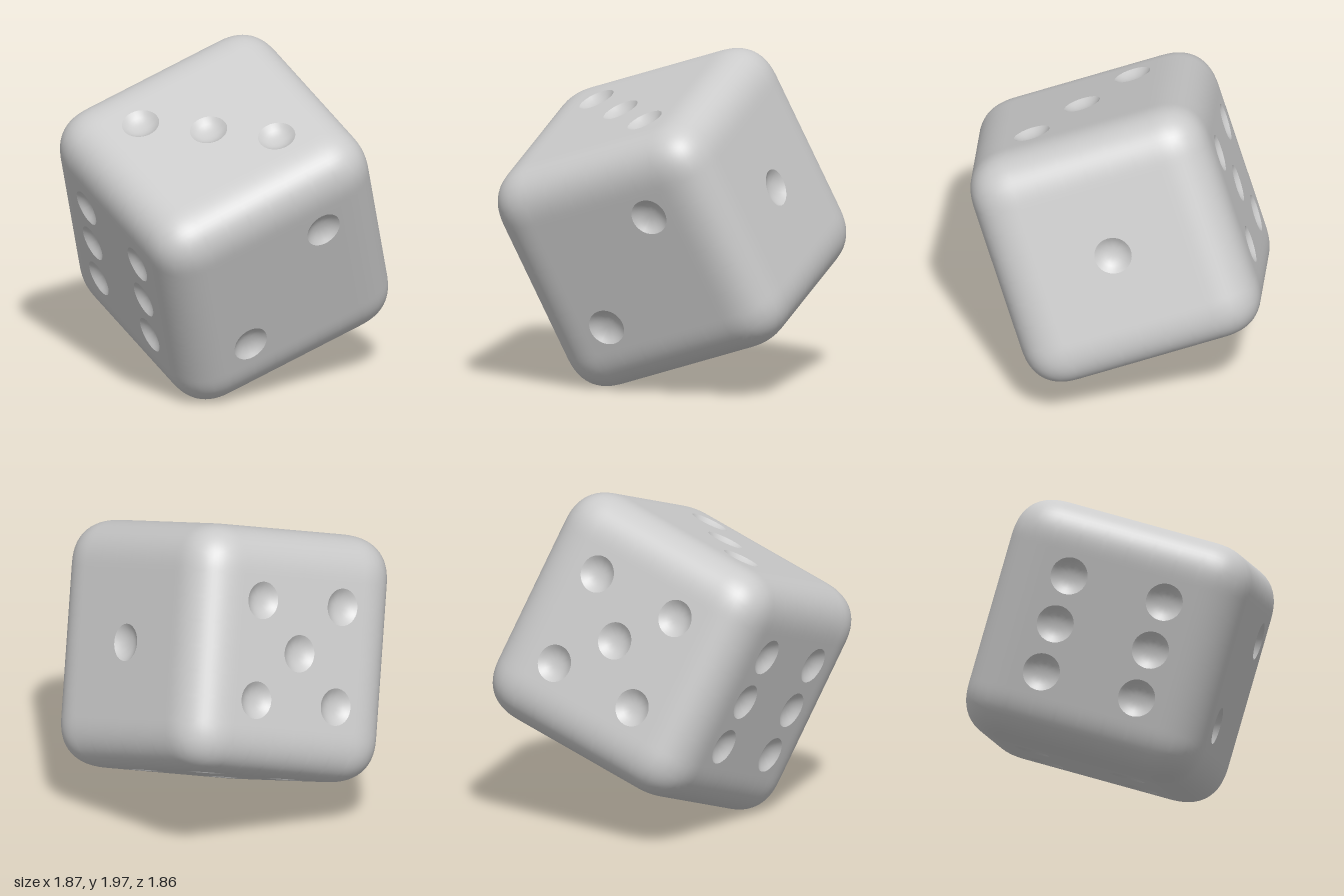
import * as THREE from 'three';
import { mergeVertices } from 'three/addons/utils/BufferGeometryUtils.js';

const CELL = 0.296;            // pip spacing: the flat of each face is 3 x 3 cells
const FLAT = CELL * 1.5;       // half width of the flat part
const ROUND = 0.291;           // depth of the rounded border
const SOFT = 2.5;              // above 2 the rounding eases gently into the flats
const N = 16, BORDER = 9;      // segments per cell and per rounded border
const PIP_R = CELL * 0.375, PIP_DEPTH = 0.042;

// Grid lines across one face: border, three cells, border
const ticks = [];
for (let i = BORDER; i > 0; i--) ticks.push(-FLAT - ROUND * Math.tan((i / BORDER) * Math.PI / 4));
for (let i = 0; i <= 3 * N; i++) ticks.push(-FLAT + (i / N) * CELL);
for (let i = 1; i <= BORDER; i++) ticks.push(FLAT + ROUND * Math.tan((i / BORDER) * Math.PI / 4));

// Pip cells in face coordinates
const mid = [[0, 0]], pair = [[1, 1], [-1, -1]];
const corners = [...pair, [1, -1], [-1, 1]];
// normal, first axis, second axis (axis index), side, pips
const FACES = [
  [0, 1, 2, 1, mid],
  [2, 0, 1, 1, pair],
  [1, 2, 0, 1, [...pair, ...mid]],
  [1, 0, 2, -1, corners],
  [2, 1, 0, -1, [...corners, ...mid]],
  [0, 2, 1, -1, [...corners, [1, 0], [-1, 0]]],
];

const clampFlat = (t) => Math.max(-FLAT, Math.min(FLAT, t));

// Surface point for face coordinates (a, b): returns [a, b, height]
function surfacePoint(a, b, pips) {
  const pip = pips.find(([i, j]) => Math.max(Math.abs(a - i * CELL), Math.abs(b - j * CELL)) < CELL / 2 - 1e-6);
  if (pip) {
    // Bend the square grid into circles around the pip, then sink the bowl
    const x = a - pip[0] * CELL, y = b - pip[1] * CELL;
    const s = Math.max(Math.abs(x), Math.abs(y)), len = Math.hypot(x, y) || 1;
    const k = Math.max(0, (s - PIP_R) / (CELL / 2 - PIP_R));
    const scale = THREE.MathUtils.lerp(s / len, 1, k);
    const sink = s < PIP_R ? PIP_DEPTH * (1 - Math.pow(s / PIP_R, SOFT)) : 0;
    return [pip[0] * CELL + x * scale, pip[1] * CELL + y * scale, FLAT + ROUND - sink];
  }
  // Rounded border: push the offset from the inner box onto a soft sphere
  const ca = clampFlat(a), cb = clampFlat(b), da = a - ca, db = b - cb;
  const norm = Math.pow(
    Math.abs(da) ** SOFT + Math.abs(db) ** SOFT + ROUND ** SOFT, 1 / SOFT);
  const f = ROUND / norm;
  return [ca + da * f, cb + db * f, FLAT + ROUND * f];
}

function buildGeometry(positions, index) {
  const g = new THREE.BufferGeometry();
  g.setAttribute('position', new THREE.Float32BufferAttribute(positions, 3));
  g.setIndex(index);
  const merged = mergeVertices(g, 1e-5);
  merged.computeVertexNormals();
  return merged;
}

export function createModel() {
  const positions = [], bodyIndex = [], pipIndex = [];
  const n = ticks.length;

  for (const [axN, axA, axB, side, pips] of FACES) {
    const base = positions.length / 3;
    for (const b of ticks) for (const a of ticks) {
      const [pa, pb, h] = surfacePoint(a, b, pips);
      const p = [0, 0, 0];
      p[axA] = pa; p[axB] = pb; p[axN] = side * h;
      positions.push(...p);
    }
    for (let j = 0; j < n - 1; j++) for (let i = 0; i < n - 1; i++) {
      const a = (ticks[i] + ticks[i + 1]) / 2, b = (ticks[j] + ticks[j + 1]) / 2;
      const x = a - Math.round(a / CELL) * CELL, y = b - Math.round(b / CELL) * CELL;
      const inPip = pips.some(([u, v]) =>
        Math.max(Math.abs(a - u * CELL), Math.abs(b - v * CELL)) < PIP_R);
      const p = base + j * n + i, q = p + 1, r = p + n + 1, s = p + n;
      // Split each quad along the diagonal that points at the cell centre
      const tris = x * y > 0 ? [p, q, r, p, r, s] : [p, q, s, q, r, s];
      (inPip ? pipIndex : bodyIndex).push(...tris);
    }
  }

  const material = new THREE.MeshStandardMaterial({ color: 0xcccccc });
  const body = new THREE.Mesh(buildGeometry(positions, bodyIndex), material);
  body.name = 'roundedCubeBody';
  const dents = new THREE.Mesh(buildGeometry(positions, pipIndex), material);
  dents.name = 'pips';

  // Tumbled pose of the die
  const right = new THREE.Vector3(0.943, 0.314, -0.116).normalize();
  const front = right.clone().cross(new THREE.Vector3(-0.257, 0.899, 0.358)).normalize();
  const up = front.clone().cross(right);
  const die = new THREE.Group();
  die.name = 'die';
  die.add(body, dents);
  die.quaternion.setFromRotationMatrix(new THREE.Matrix4().makeBasis(right, up, front));

  // Stand it on the ground
  const group = new THREE.Group();
  group.add(die);
  group.updateMatrixWorld(true);
  die.position.y = -new THREE.Box3().setFromObject(group, true).min.y;
  return group;
}
